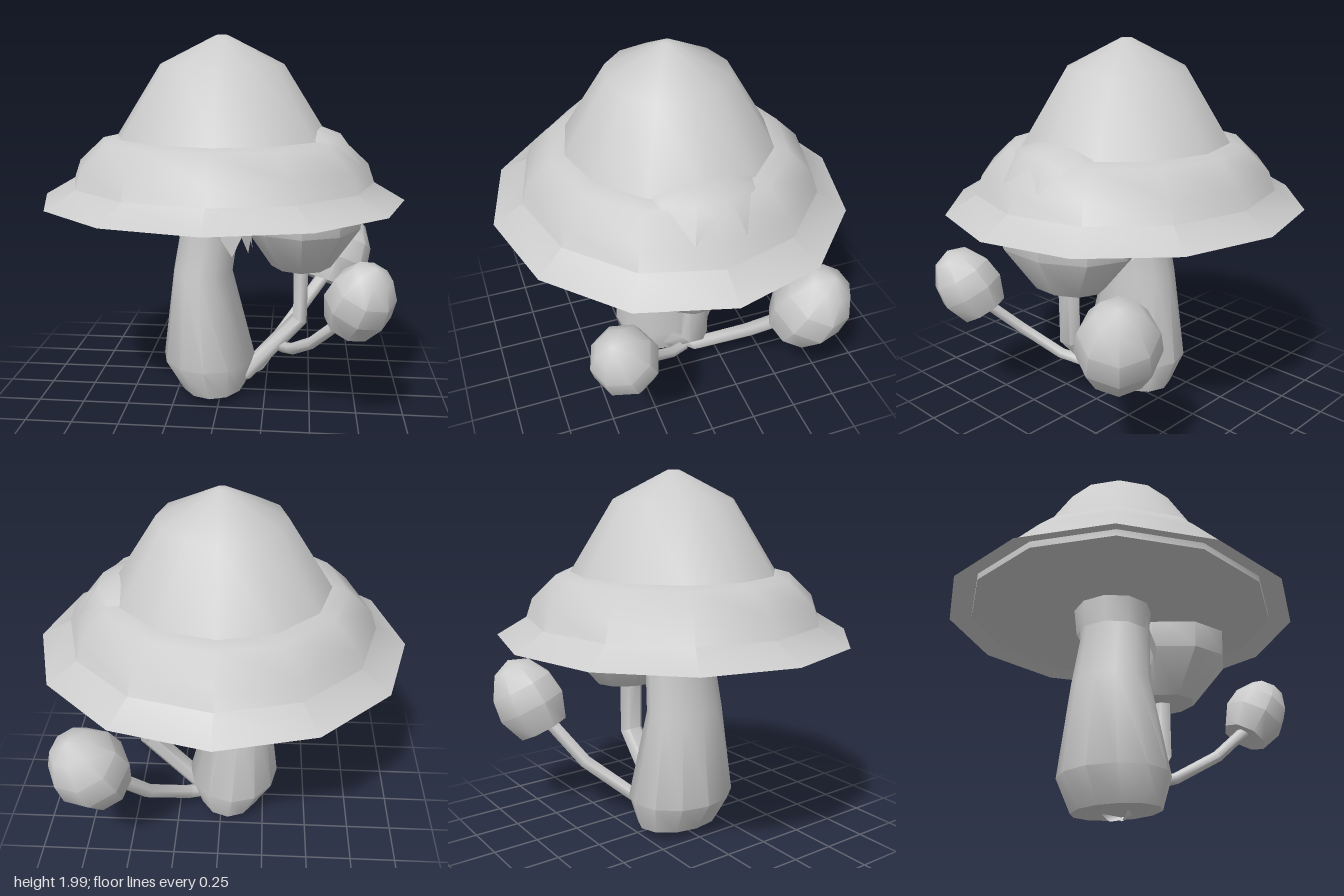
import * as THREE from 'three';
import { toCreasedNormals } from 'three/addons/utils/BufferGeometryUtils.js';

const material = new THREE.MeshStandardMaterial({ color: 0xcccccc, side: THREE.DoubleSide });

function part(name, geometry, crease = 0.75) {
  const mesh = new THREE.Mesh(toCreasedNormals(geometry, crease), material);
  mesh.name = name;
  return mesh;
}

// Profile points are [radius, height], listed from bottom to top
function lathe(profile, sides) {
  return new THREE.LatheGeometry(profile.map(([r, y]) => new THREE.Vector2(r, y)), sides);
}

// Path with hard bends: one tube ring per point
class BentPath extends THREE.Curve {
  constructor(points) {
    super();
    this.points = points.map((p) => new THREE.Vector3(...p));
  }
  getPoint(t, target = new THREE.Vector3()) {
    const f = t * (this.points.length - 1);
    const i = Math.min(Math.floor(f), this.points.length - 2);
    return target.lerpVectors(this.points[i], this.points[i + 1], f - i);
  }
  getPointAt(u, target) { return this.getPoint(u, target); }
  getTangentAt(u, target) { return this.getTangent(u, target); }
}

function stalk(name, points, radius) {
  return part(name, new THREE.TubeGeometry(new BentPath(points), points.length - 1, radius, 6), 1.1);
}

// Elliptical rings [y, centreX, radiusX, radiusZ], closed at the bottom
function ringStem(rings, sides) {
  const g = lathe([[0, 0], ...rings.map((r) => [1, r[0]])], sides);
  const p = g.attributes.position;
  const n = rings.length + 1;
  for (let i = 0; i < p.count; i++) {
    const [y, cx, rx, rz] = rings[Math.max(0, (i % n) - 1)];
    p.setXYZ(i, cx + p.getX(i) * rx, y, p.getZ(i) * rz);
  }
  return g;
}

// Bud: a blunt-based egg tilted along its axis
function bud(name, base, axis, size) {
  const profile = [[0, 0.02], [0.13, 0], [0.18, 0.13], [0.165, 0.24], [0.1, 0.345], [0, 0.385]];
  const mesh = part(name, lathe(profile, 8), 0.8);
  mesh.position.set(...base);
  mesh.quaternion.setFromUnitVectors(new THREE.Vector3(0, 1, 0), new THREE.Vector3(...axis).normalize());
  mesh.scale.setScalar(size);
  return mesh;
}

export function createModel() {
  const group = new THREE.Group();

  // Large hat-shaped cap: flat underside, flared brim, rolled ring, dome
  const cap = part('mainCap', lathe([
    [0, 1.15], [0.86, 1.15], [0.86, 1.185], [0.985, 1.135], [0.82, 1.23], [0.785, 1.33],
    [0.65, 1.455], [0.57, 1.472], [0.33, 1.85], [0.03, 2], [0, 2],
  ], 12));
  cap.scale.z = 0.957;
  group.add(cap);

  // Thick main stem and the collar round its top
  group.add(part('mainStem', ringStem([
    [0.05, -0.045, 0.18, 0.25], [0.22, -0.07, 0.26, 0.305], [0.72, -0.105, 0.165, 0.225],
    [1.0, -0.06, 0.16, 0.2], [1.16, -0.06, 0.16, 0.2],
  ], 12)));
  const collar = part('stemCollar', lathe([[0.19, 1.005], [0.205, 1.16]], 10));
  collar.position.x = -0.085;
  collar.scale.z = 1.05;
  group.add(collar);

  // Torn skirt hanging from the collar on the stem's left side
  const skirt = new THREE.CylinderGeometry(0.16, 0.22, 0.28, 8, 1, true, 0.3, 2.3);
  const sp = skirt.attributes.position;
  for (let i = 9; i < sp.count; i++) if (i % 2) sp.setY(i, -0.04);
  const skirtMesh = part('tornSkirt', skirt);
  skirtMesh.position.set(-0.05, 0.98, 0);
  group.add(skirtMesh);

  // Second cap, partly pushed through the large one
  const second = part('secondCap', lathe([
    [0, 0.77], [0.22, 0.77], [0.42, 1.0], [0.425, 1.22], [0.41, 1.34], [0.27, 1.48], [0.12, 1.525], [0, 1.53],
  ], 10));
  second.position.x = 0.44;
  second.scale.x = 0.77;
  group.add(second);
  const secondStem = stalk('secondStem',
    [[0.44, 0.85, 0], [0.44, 0.45, 0], [0.14, 0.12, 0], [-0.06, 0.045, 0]], 0.047);
  secondStem.scale.z = 1.6;
  group.add(secondStem);

  // Two small side buds on bent stalks
  group.add(stalk('frontBudStem',
    [[0.34, 0.28, 0.02], [0.4, 0.31, 0.12], [0.5, 0.43, 0.33], [0.68, 0.62, 0.44]], 0.032));
  group.add(bud('frontBud', [0.68, 0.575, 0.425], [0.36, 1, 0.4], 0.98));
  group.add(stalk('backBudStem',
    [[0.1, 0.08, -0.05], [0.2, 0.11, -0.11], [0.4, 0.33, -0.35], [0.6, 0.58, -0.5]], 0.042));
  group.add(bud('backBud', [0.6, 0.515, -0.51], [0.35, 1, -0.36], 1.17));

  return group;
}
